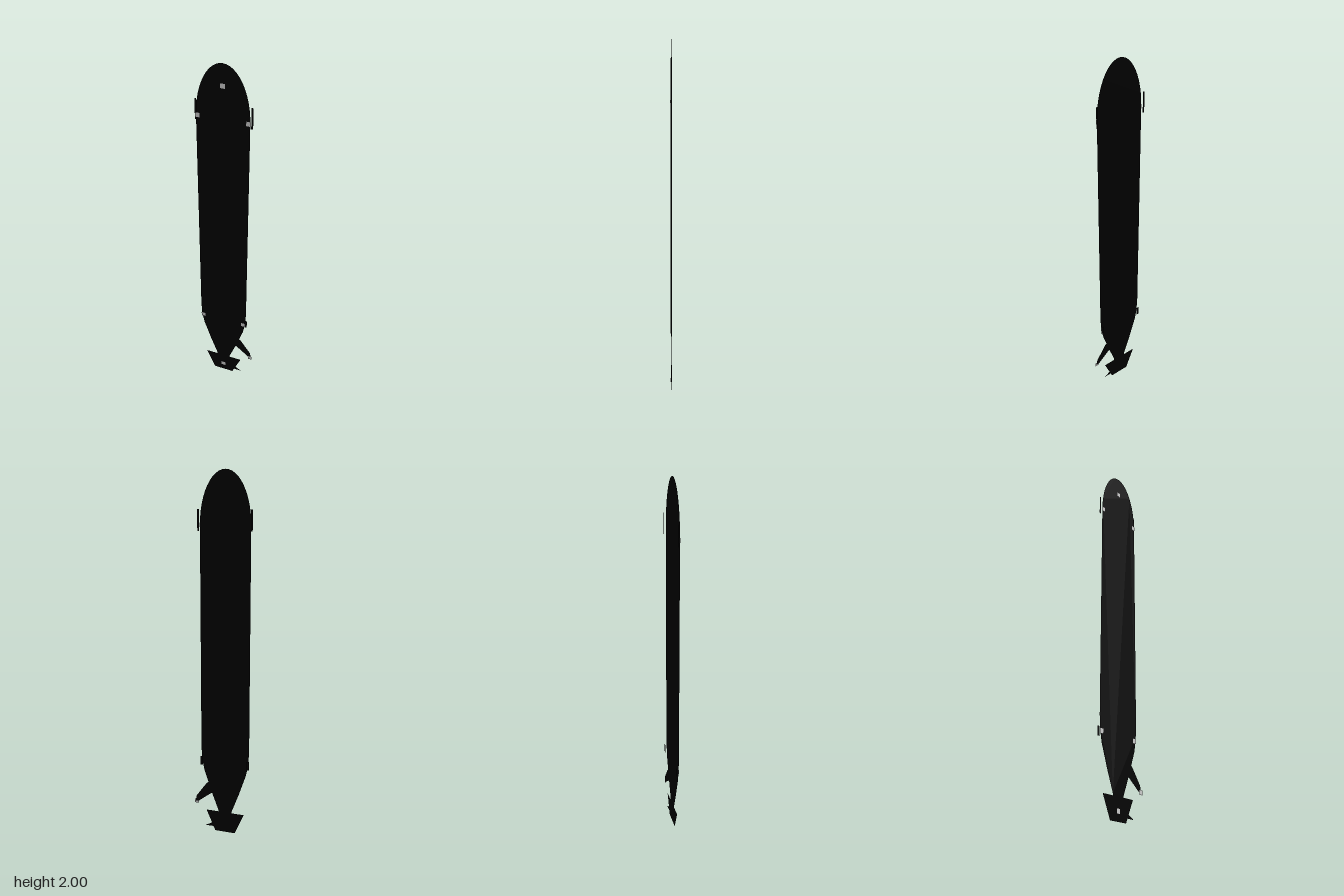
import * as THREE from 'three';

const CX = -0.018; // centre line of the hull

const black = new THREE.MeshStandardMaterial({ color: 0x000000, side: THREE.DoubleSide });
const grey = new THREE.MeshStandardMaterial({ color: 0xcccccc, side: THREE.DoubleSide });

// Flat sheet cut from an outline in the x-y plane
function sheet(name, points, z, material = black) {
  const shape = new THREE.Shape(points.map(([x, y]) => new THREE.Vector2(x, y)));
  const mesh = new THREE.Mesh(new THREE.ShapeGeometry(shape), material);
  mesh.name = name;
  mesh.position.z = z;
  return mesh;
}

// Mirrors a right-hand profile (bottom to top) about the centre line
function symmetric(profile) {
  const right = profile.map(([w, y]) => [CX + w, y]);
  const left = profile.filter(([w]) => w > 0).map(([w, y]) => [CX - w, y]).reverse();
  return [...right, ...left];
}

export function createModel() {
  const model = new THREE.Group();
  model.name = 'submarine';

  // Hull: tapered stern, straight sides, elliptical bow
  const hull = [[0.03, 0.02], [0.04, 0.13], [0.082, 0.24], [0.123, 0.36], [0.131, 0.4], [0.137, 0.45], [0.14, 0.5]];
  for (let i = 0; i <= 12; i++) {
    const a = (i / 12) * Math.PI / 2;
    hull.push([i === 12 ? 0 : 0.14 * Math.cos(a), 1.72 + 0.28 * Math.sin(a)]);
  }
  model.add(sheet('hull', symmetric(hull), 0.004));

  // Tail plane and the small propeller blade beside it
  model.add(sheet('tailPlane', symmetric([[0.058, 0], [0.111, 0.12]]), 0.003));
  model.add(sheet('propellerBlade', [[0.03, 0.04], [0.05, 0.025], [0.098, 0.024], [0.06, 0.045], [0.045, 0.06]], 0.002));

  // Swept stern fin on the left side
  model.add(sheet('sternFin', [[0.05, 0.235], [0.07, 0.222], [0.14, 0.168], [0.16, 0.165], [0.152, 0.2], [0.09, 0.285], [0.06, 0.3]], 0.002));

  // Thin side plates, fore and aft
  for (const s of [-1, 1]) {
    const plate = (name, x0, x1, y0, y1) => model.add(sheet(name,
      [[CX + s * x0, y0], [CX + s * x1, y0], [CX + s * x1, y1], [CX + s * x0, y1]], -0.006));
    plate('forePlate', 0.141, 0.151, 1.69, 1.8);
    plate('aftPlate', 0.128, 0.143, 0.395, 0.445);
  }

  // Square lights
  const lights = [[CX, 1.89], [-0.15, 1.72], [0.114, 1.72], [-0.145, 0.42], [0.106, 0.42], [0.153, 0.165], [CX, 0.05]];
  for (const [x, y] of lights) {
    const light = new THREE.Mesh(new THREE.PlaneGeometry(0.024, 0.024), grey);
    light.name = 'light';
    light.position.set(x, y, 0.006);
    model.add(light);
  }

  return model;
}
